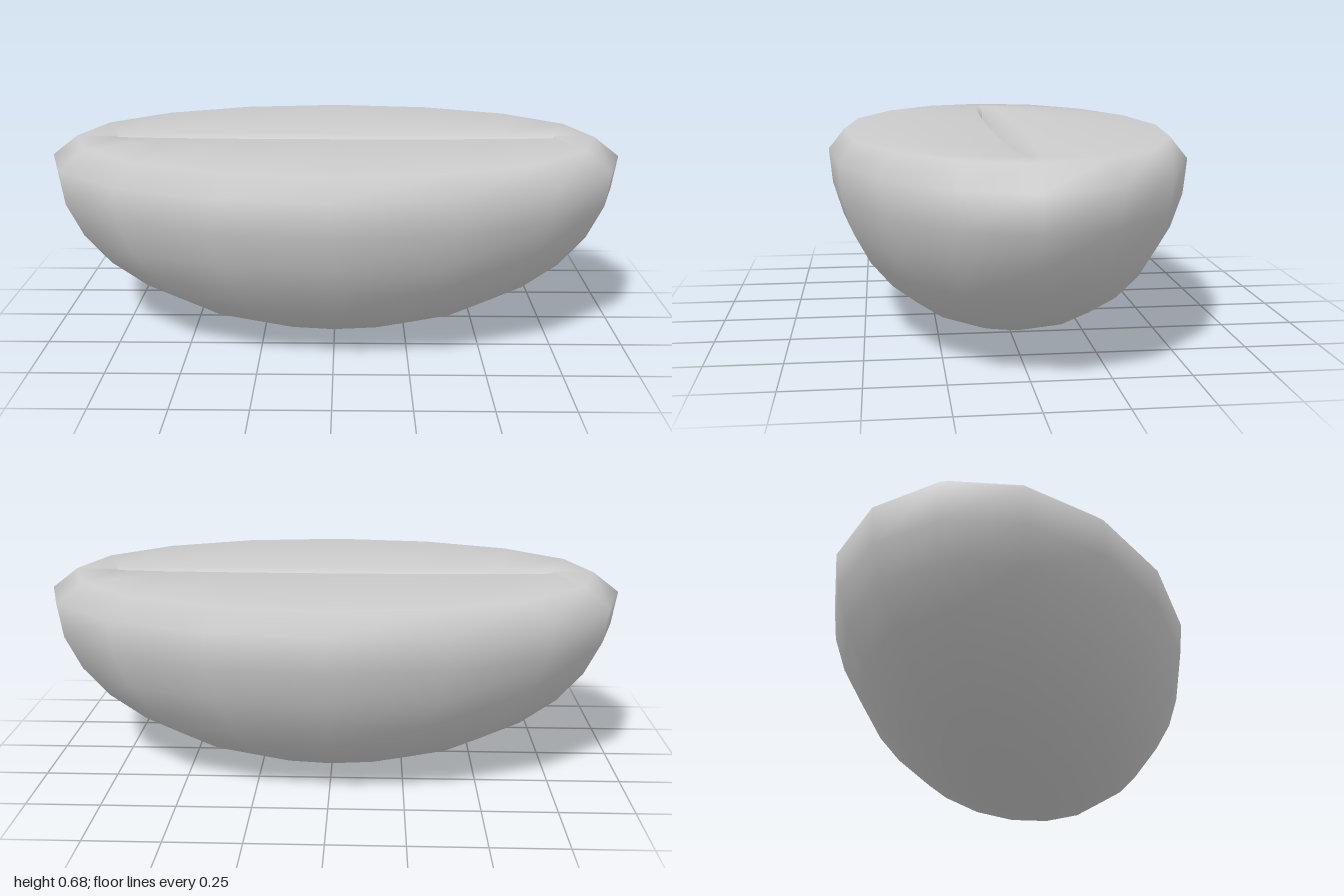
import * as THREE from 'three';

const SIDES = 16;
const DEPTH = 0.613; // z radius relative to x radius

// Shell rings from the underside up to the bevelled rim: [x radius, height]
const shell = [
  [0, 0.004], [0.2, 0.016], [0.38, 0.05], [0.56, 0.108], [0.71, 0.185],
  [0.835, 0.28], [0.925, 0.385], [0.982, 0.5], [1, 0.618], [0.91, 0.687],
];

// Joins rings of SIDES points, listed from bottom to top, into one smooth surface
function loft(rings) {
  const index = [];
  for (let r = 0; r < rings.length - 1; r++) {
    for (let k = 0; k < SIDES; k++) {
      const a = r * SIDES + k, b = r * SIDES + (k + 1) % SIDES;
      const c = a + SIDES, d = b + SIDES;
      if (r > 0) index.push(a, c, b);
      index.push(b, c, d);
    }
  }
  const geometry = new THREE.BufferGeometry().setFromPoints(rings.flat());
  geometry.setIndex(index);
  geometry.computeVertexNormals();
  return geometry;
}

function ring(place) {
  return Array.from({ length: SIDES }, (_, k) => {
    const angle = (k / SIDES) * Math.PI * 2;
    return new THREE.Vector3(...place(Math.cos(angle), Math.sin(angle)));
  });
}

export function createModel() {
  const rings = shell.map(([radius, y]) =>
    ring((c, s) => [radius * c, y, radius * DEPTH * s]));

  // Slit in the flat top: blunt-ended lip, then walls closing to a line below
  const slitX = (c) => 0.77 * THREE.MathUtils.clamp(c * 1.083, -1, 1);
  rings.push(ring((c, s) => [slitX(c), 0.687, 0.05 * Math.sign(s) * Math.abs(s) ** 0.7]));
  rings.push(ring((c) => [slitX(c) * 0.99, 0.615, 0]));

  const bean = new THREE.Mesh(
    loft(rings),
    new THREE.MeshStandardMaterial({ color: 0xcccccc, side: THREE.DoubleSide }),
  );
  bean.name = 'bean';

  const model = new THREE.Group();
  model.name = 'coffeeBean';
  model.add(bean);
  return model;
}
